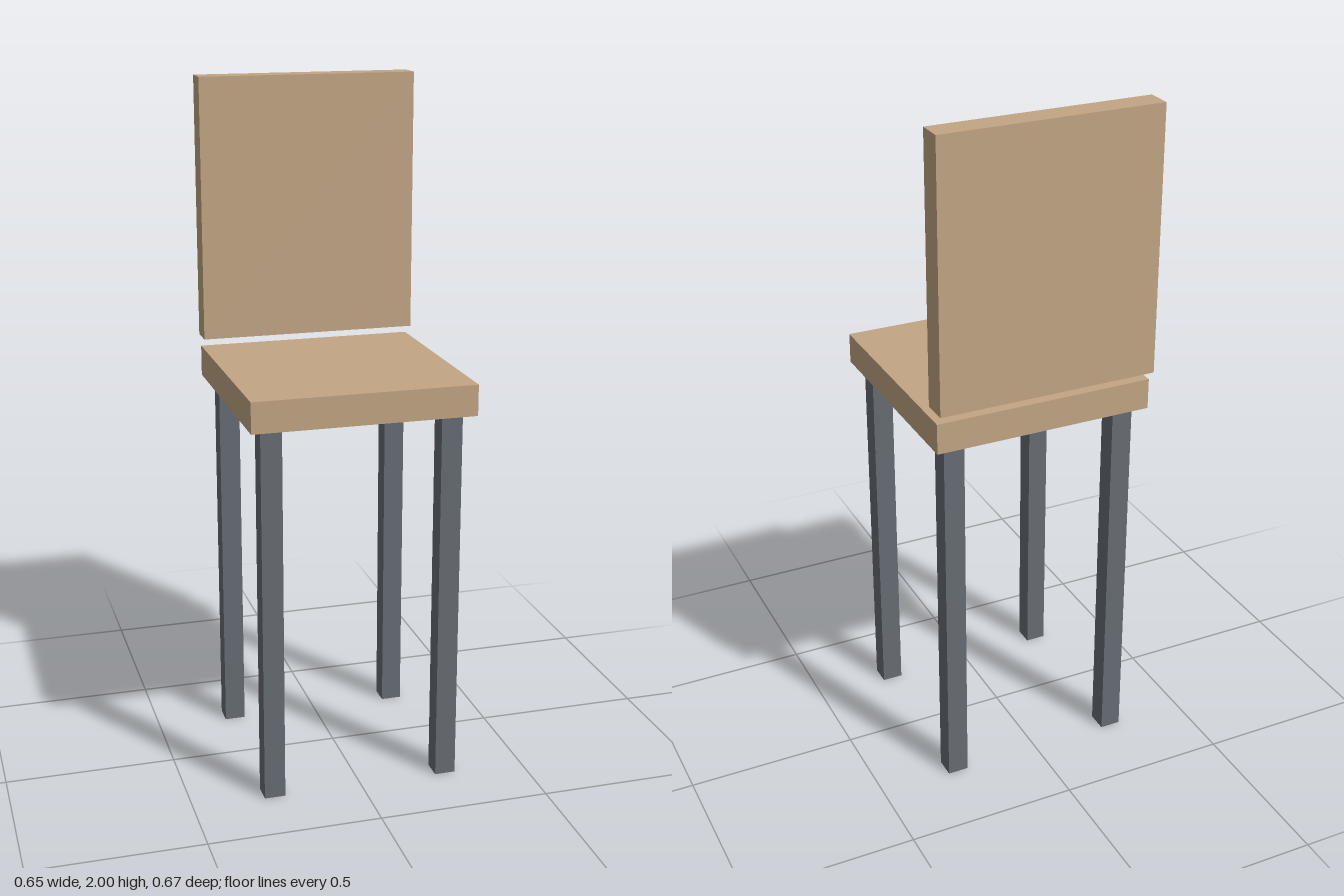
import * as THREE from 'three';

export function createModel() {
  const model = new THREE.Group();
  model.name = 'chair';
  const wood = new THREE.MeshStandardMaterial({ color: 0xc2a583 });
  const metal = new THREE.MeshStandardMaterial({ color: 0x666b74 });

  // Box placed by its bottom height
  const addBox = (name, material, [w, h, d], [x, bottom, z]) => {
    const mesh = new THREE.Mesh(new THREE.BoxGeometry(w, h, d), material);
    mesh.name = name;
    mesh.position.set(x, bottom + h / 2, z);
    model.add(mesh);
  };

  const width = 0.646, seatZ = 0.012, legOffset = 0.26;

  // Seat slab and the back panel floating just above it
  addBox('seat', wood, [width, 0.09, width], [0, 1.111, seatZ]);
  addBox('backrest', wood, [width, 0.768, 0.076], [0, 1.232, -0.297]);

  // Four square legs
  for (const [side, sx] of [['left', 1], ['right', -1]]) {
    for (const [end, sz] of [['Front', 1], ['Back', -1]]) {
      addBox(`${side}${end}Leg`, metal, [0.061, 1.111, 0.061],
        [sx * legOffset, 0, seatZ + sz * legOffset]);
    }
  }
  return model;
}
